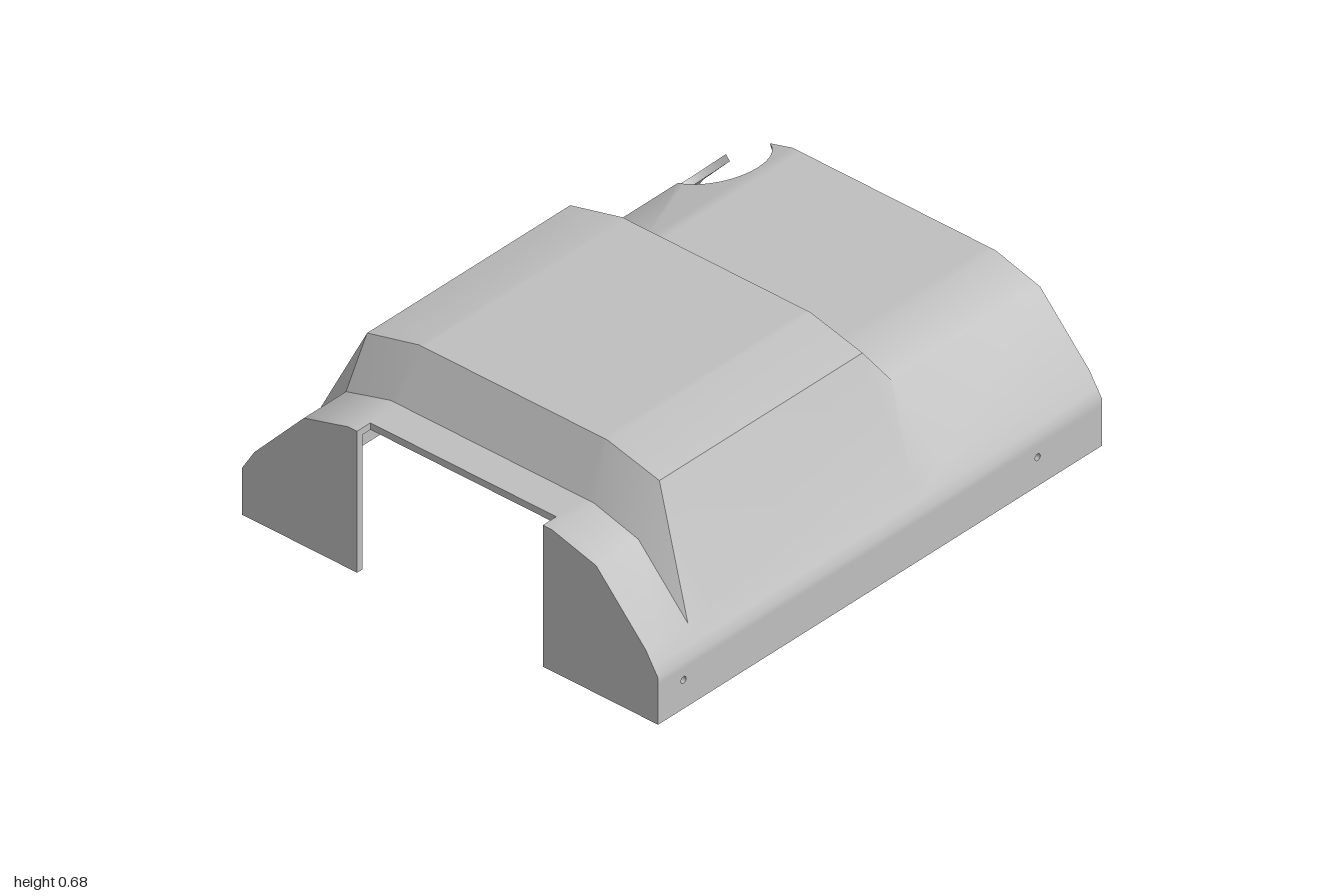
import * as THREE from 'three';
import { toCreasedNormals } from 'three/addons/utils/BufferGeometryUtils.js';

// Half cross-sections as [z, y], from the lower edge up to the middle of the roof
const SIDE_OUT = [[0.84, 0], [0.84, 0.145], [0.84, 0.17], [0.821, 0.2], [0.79, 0.25]];
const SIDE_IN = [[0.815, 0], [0.815, 0.143], [0.815, 0.157], [0.799, 0.19], [0.77, 0.235]];
const LOW = [
  [...SIDE_OUT, [0.59, 0.465], [0.41, 0.515], [0.375, 0.515]],
  [...SIDE_IN, [0.577, 0.443], [0.405, 0.49], [0.375, 0.49]],
];
const HIGH = [
  [...SIDE_OUT, [0.59, 0.63], [0.38, 0.682], [0.36, 0.682]],
  [...SIDE_IN, [0.572, 0.608], [0.375, 0.657], [0.36, 0.657]],
];
const ROWS = 15;
// Lengthwise stations, with the raised part between the two ramps
const STATIONS = [-1, -0.97, -0.94, -0.81, -0.715, -0.65, 0.2, 0.33, 1];

const raise = (x) => Math.max(0, Math.min(1, (x + 0.81) / 0.095, (0.33 - x) / 0.13));

// Point i of the full section at x; layer 0 is the outer skin, 1 the inner
function sectionPoint(x, i, layer) {
  const mirrored = i > 7;
  const k = mirrored ? ROWS - i : i;
  const [lz, ly] = LOW[layer][k], [hz, hy] = HIGH[layer][k], t = raise(x);
  const z = lz + (hz - lz) * t;
  return new THREE.Vector3(x, ly + (hy - ly) * t, mirrored ? -z : z);
}

function skinPoint(x, v, layer) {
  const i = Math.min(Math.floor(v), ROWS - 1);
  return sectionPoint(x, i, layer).lerp(sectionPoint(x, i + 1, layer), v - i);
}

// Outline of one panel in (x, v), with the round corner opening cut from rows 9 and 10
function panelOutline(x0, x1, row) {
  const P = (x, v) => new THREE.Vector2(x, v);
  if (x0 !== 0.33 || (row !== 9 && row !== 10)) {
    return [P(x0, row), P(x1, row), P(x1, row + 1), P(x0, row + 1)];
  }
  const r = 0.17, cx = 0.855, start = Math.acos((1 - cx) / r), n = 20;
  const width = row === 9 ? -0.18 : 0.2;
  const arc = [];
  for (let i = 0; i <= n; i++) {
    const a = start + (Math.PI - start) * i / n;
    arc.push(P(i === n ? cx - r : cx + r * Math.cos(a), i === n ? 10 : 10 + r * Math.sin(a) / width));
  }
  return row === 9
    ? [P(x0, 9), P(1, 9), ...arc, P(x0, 10)]
    : [P(x0, 10), ...arc.reverse(), P(1, 11), P(x0, 11)];
}

// Screw holes in the lower walls
function screwHoles(x0, row) {
  const cx = x0 === -0.94 ? -0.885 : x0 === 0.33 ? 0.71 : null;
  if (cx === null || (row !== 0 && row !== ROWS - 1)) return [];
  const v = 0.105 / 0.145, hole = [];
  for (let i = 0; i < 16; i++) {
    const a = -i / 16 * Math.PI * 2;
    hole.push(new THREE.Vector2(cx + 0.012 * Math.cos(a),
      (row === 0 ? v : ROWS - v) + 0.012 / 0.145 * Math.sin(a)));
  }
  return [hole];
}

// Cells left open: the end notch in the roof and the slot in the back wall
function isOpen(x0, row) {
  const notch = row === 7 && x0 < -0.95;
  const slot = (row === 12 || row === 13) && x0 > -0.98 && x0 < -0.66;
  return notch || slot;
}

function shellGeometry() {
  const points = [], lookup = new Map(), faces = [], edges = new Set();
  const weld = (p) => {
    const key = `${p.x.toFixed(5)},${p.y.toFixed(5)}`;
    if (!lookup.has(key)) {
      lookup.set(key, points.length);
      points.push(p);
    }
    return lookup.get(key);
  };
  for (let s = 0; s < STATIONS.length - 1; s++) {
    for (let row = 0; row < ROWS; row++) {
      const x0 = STATIONS[s];
      if (isOpen(x0, row)) continue;
      const outline = panelOutline(x0, STATIONS[s + 1], row);
      const holes = screwHoles(x0, row);
      const all = [outline, ...holes].flat();
      for (const tri of THREE.ShapeUtils.triangulateShape(outline, holes)) {
        if (THREE.ShapeUtils.isClockWise(tri.map((i) => all[i]))) tri.reverse();
        const face = tri.map((i) => weld(all[i]));
        faces.push(face);
        face.forEach((a, i) => edges.add(`${a},${face[(i + 1) % 3]}`));
      }
    }
  }
  const position = [];
  const put = (i, layer) => position.push(...skinPoint(points[i].x, points[i].y, layer).toArray());
  // Outer and inner skins
  for (const [a, b, c] of faces) {
    [a, b, c].forEach((i) => put(i, 0));
    [c, b, a].forEach((i) => put(i, 1));
  }
  // Rims that close every free edge through the thickness
  for (const edge of edges) {
    const [a, b] = edge.split(',').map(Number);
    if (edges.has(`${b},${a}`)) continue;
    put(b, 0); put(a, 0); put(a, 1);
    put(b, 0); put(a, 1); put(b, 1);
  }
  const geometry = new THREE.BufferGeometry();
  geometry.setAttribute('position', new THREE.Float32BufferAttribute(position, 3));
  return toCreasedNormals(geometry, 0.62);
}

// Flat end plate filling the section beside the notch
function endPlateGeometry(side) {
  const outline = [...LOW[1], [0.375, 0]].map(([z, y]) => new THREE.Vector2(-side * z, y));
  const geometry = new THREE.ExtrudeGeometry(new THREE.Shape(outline), { depth: 0.025, bevelEnabled: false });
  return geometry.rotateY(Math.PI / 2).translate(-1, 0, 0);
}

export function createModel() {
  const model = new THREE.Group();
  model.name = 'cover';
  const grey = new THREE.MeshStandardMaterial({ color: 0xbfbfbf });
  grey.name = 'grey';

  const add = (name, geometry) => {
    const mesh = new THREE.Mesh(geometry, grey);
    mesh.name = name;
    model.add(mesh);
  };
  add('shell', shellGeometry());
  add('frontEndPlate', endPlateGeometry(1));
  add('backEndPlate', endPlateGeometry(-1));
  return model;
}
